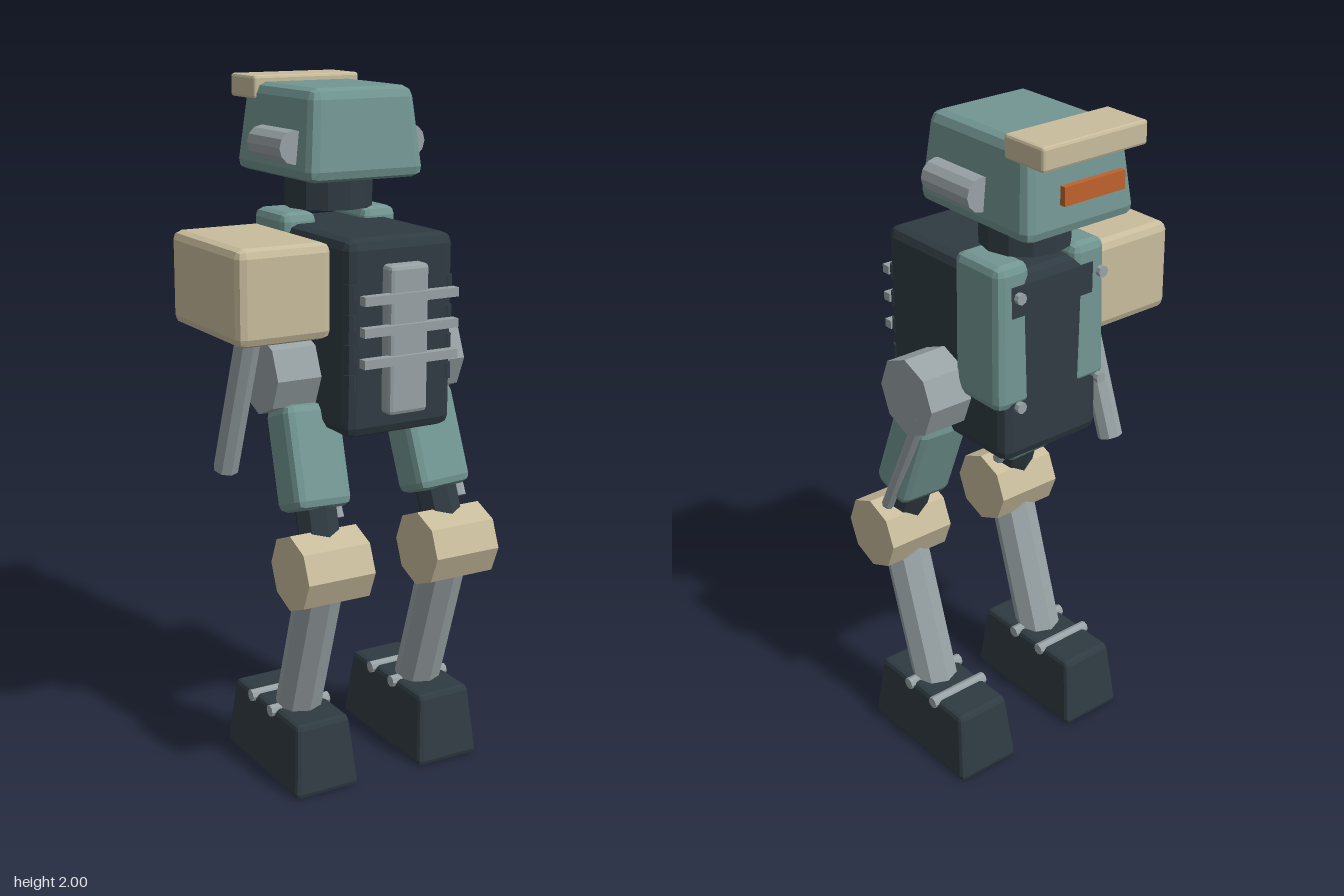
import * as THREE from 'three';
import { RoundedBoxGeometry } from 'three/addons/geometries/RoundedBoxGeometry.js';

const mat = (name, color) => Object.assign(new THREE.MeshStandardMaterial({ color }), { name });
const V = (x, y, z) => new THREE.Vector3(x, y, z);

export function createModel() {
  const root = new THREE.Group();
  root.name = 'walkerRobot';
  const teal = mat('teal armour', 0x729692);
  const tan = mat('tan armour', 0xc8bc9c);
  const dark = mat('dark frame', 0x2f3b42);
  const grey = mat('grey metal', 0x98a2a5);
  const orange = mat('orange visor', 0xc0622d);

  const MID = 0.075; // the body's own centre line

  function add(name, geometry, material, pos = [0, 0, 0]) {
    const flat = geometry.index ? geometry.toNonIndexed() : geometry;
    flat.computeVertexNormals();
    const mesh = new THREE.Mesh(flat, material);
    mesh.name = name;
    mesh.position.set(...pos);
    root.add(mesh);
    return mesh;
  }

  // Bevelled box; the top can be narrowed in x and z
  function block(name, material, size, pos, bevel = 0.02, topX = 1, topZ = 1) {
    const [w, h, d] = size;
    const g = new RoundedBoxGeometry(w, h, d, 1, bevel);
    const p = g.attributes.position;
    for (let i = 0; i < p.count; i++) {
      const t = p.getY(i) / h + 0.5;
      p.setX(i, p.getX(i) * (1 + (topX - 1) * t));
      p.setZ(i, p.getZ(i) * (1 + (topZ - 1) * t));
    }
    return add(name, g, material, pos);
  }

  // Align a mesh's y axis with the line from a to b and centre it there
  function align(mesh, a, b) {
    mesh.position.copy(a).lerp(b, 0.5);
    mesh.quaternion.setFromUnitVectors(V(0, 1, 0), b.clone().sub(a).normalize());
    return mesh;
  }

  function rod(name, material, a, b, r, sides = 8) {
    return align(add(name, new THREE.CylinderGeometry(r, r, a.distanceTo(b), sides), material), a, b);
  }

  // Head, brow, visor and neck
  block('head', teal, [0.372, 0.25, 0.455], [MID, 1.857, -0.092], 0.03, 0.86, 0.87);
  block('brow', tan, [0.343, 0.065, 0.15], [MID, 1.9675, -0.288], 0.008);
  add('visor', new THREE.BoxGeometry(0.2, 0.05, 0.017), orange, [MID, 1.86, -0.352]);
  rod('neck', dark, V(MID, 1.64, -0.09), V(MID, 1.725, -0.09), 0.125, 12);
  rod('neckTop', dark, V(MID, 1.72, -0.09), V(MID, 1.75, -0.09), 0.105, 12);

  // Torso with spine plate and ribs
  block('torso', dark, [0.338, 0.545, 0.513], [MID, 1.3325, 0.052], 0.03);
  block('spinePlate', grey, [0.122, 0.41, 0.07], [MID, 1.33, 0.316], 0.012);
  for (const y of [1.45, 1.365, 1.28]) {
    add('rib', new THREE.BoxGeometry(0.295, 0.025, 0.027), grey, [MID, y, 0.35]);
  }

  for (const s of [-1, 1]) {
    const X = (offset) => MID + s * offset;

    // Ear pods
    rod('earPod', grey, V(X(0.185), 1.824, -0.143), V(X(0.185), 1.824, 0.05), 0.047, 12);

    // Chest panels with their bolts
    block('chestPanel', teal, [0.12, 0.415, 0.194], [X(0.13), 1.428, -0.11], 0.025, 0.92, 0.96);
    for (const y of [1.56, 1.245]) {
      rod('chestBolt', grey, V(X(0.14), y, -0.232), V(X(0.14), y, -0.247), 0.016);
    }

    // Corner knobs beside the ribs
    for (let i = 0; i < 4; i++) {
      const y = 1.465 - i * 0.082;
      rod('cornerKnob', dark, V(X(0.15), y - 0.022, 0.293), V(X(0.15), y + 0.022, 0.293), 0.018);
    }

    // Hip drum
    rod('hipDrum', grey, V(X(0.1), 1.21, 0.053), V(X(0.304), 1.21, 0.053), 0.116);

    // Leg: thigh, lower joint, piston, knee drum and shin
    const hip = V(X(0.183), 1.21, 0.055), knee = V(X(0.207), 0.685, 0.245);
    const along = (t) => hip.clone().lerp(knee, t);
    const top = along(0.18), end = along(0.71);
    align(block('thigh', teal, [0.175, top.distanceTo(end), 0.142], [0, 0, 0], 0.025), end, top);
    rod('thighJoint', dark, along(1), along(0.65), 0.061);
    const px = knee.x + 0.08;
    rod('piston', grey, V(px, 0.8, 0.19), V(px, 1.16, 0.01), 0.018);
    rod('kneeDrum', tan, V(knee.x - 0.105, 0.684, 0.245), V(knee.x + 0.105, 0.684, 0.245), 0.11);
    rod('shin', grey, V(knee.x, 0.19, 0.09), knee, 0.068);

    // Foot with two cross bars
    block('foot', dark, [0.208, 0.215, 0.45], [knee.x, 0.1075, 0.053], 0.015, 0.82, 0.87);
    for (const z of [0.1, -0.02]) {
      rod('footBar', grey, V(knee.x - 0.097, 0.208, z), V(knee.x + 0.097, 0.208, z), 0.018);
    }
  }

  // Shoulder pod and forearm rod on one side only
  block('shoulderPod', tan, [0.281, 0.262, 0.42], [-0.25, 1.465, 0.05], 0.025);
  rod('forearm', grey, V(-0.277, 0.91, -0.065), V(-0.264, 1.36, 0.078), 0.037);

  return root;
}
